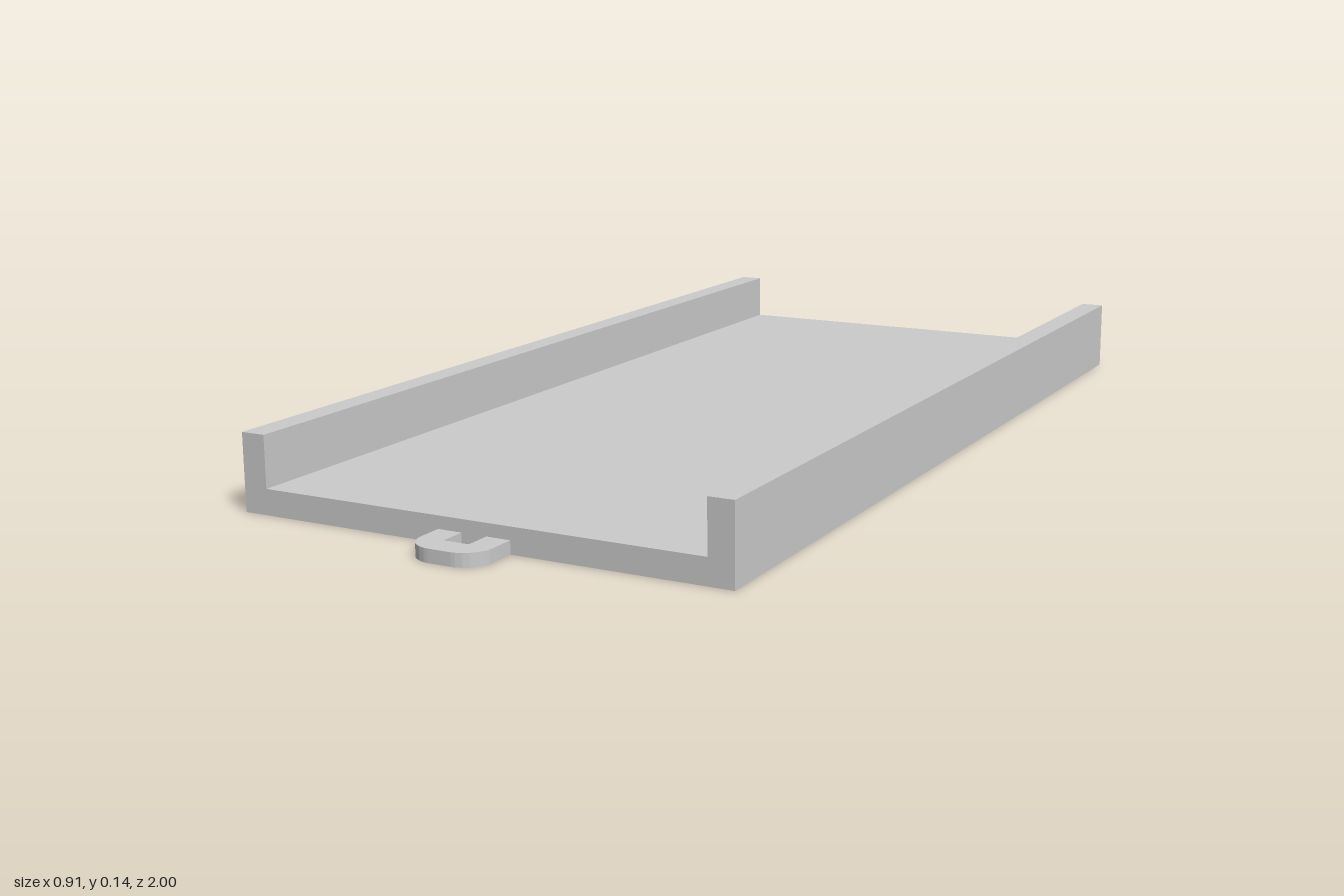
import * as THREE from 'three';
import { toCreasedNormals } from 'three/addons/utils/BufferGeometryUtils.js';

const HALF_LENGTH = 0.908;

// U-shaped channel: flat floor with a wall along each long side
function trayGeometry() {
  const outer = 0.453, inner = 0.408, top = 0.136, floor = 0.045;
  const profile = new THREE.Shape([
    [-outer, 0], [outer, 0], [outer, top], [inner, top],
    [inner, floor], [-inner, floor], [-inner, top], [-outer, top],
  ].map(([x, y]) => new THREE.Vector2(x, y)));
  return new THREE.ExtrudeGeometry(profile, { depth: 2 * HALF_LENGTH, bevelEnabled: false })
    .translate(0, 0, -HALF_LENGTH);
}

// Flat U-shaped eyelet with rounded outer corners, open towards the tray
function eyeletGeometry() {
  const w = 0.067, slot = 0.023, slotEnd = 0.954, r = 0.048, height = 0.023;
  const s = new THREE.Shape();
  s.moveTo(slot, HALF_LENGTH);
  s.lineTo(w, HALF_LENGTH);
  s.lineTo(w, 1 - r);
  s.absarc(w - r, 1 - r, r, 0, Math.PI / 2);
  s.lineTo(-w + r, 1);
  s.absarc(-w + r, 1 - r, r, Math.PI / 2, Math.PI);
  s.lineTo(-w, HALF_LENGTH);
  s.lineTo(-slot, HALF_LENGTH);
  s.lineTo(-slot, slotEnd);
  s.lineTo(slot, slotEnd);
  s.closePath();
  const geometry = new THREE.ExtrudeGeometry(s, { depth: height, bevelEnabled: false, curveSegments: 10 })
    .rotateX(Math.PI / 2)
    .translate(0, height, 0);
  return toCreasedNormals(geometry, Math.PI / 6);
}

export function createModel() {
  const group = new THREE.Group();
  const material = new THREE.MeshStandardMaterial({ color: 0xcccccc });

  const tray = new THREE.Mesh(trayGeometry(), material);
  tray.name = 'tray';
  group.add(tray);

  // One mounting eyelet at each end
  const eyelet = eyeletGeometry();
  ['frontEyelet', 'backEyelet'].forEach((name, i) => {
    const mesh = new THREE.Mesh(eyelet, material);
    mesh.name = name;
    mesh.rotation.y = i * Math.PI;
    group.add(mesh);
  });

  return group;
}
